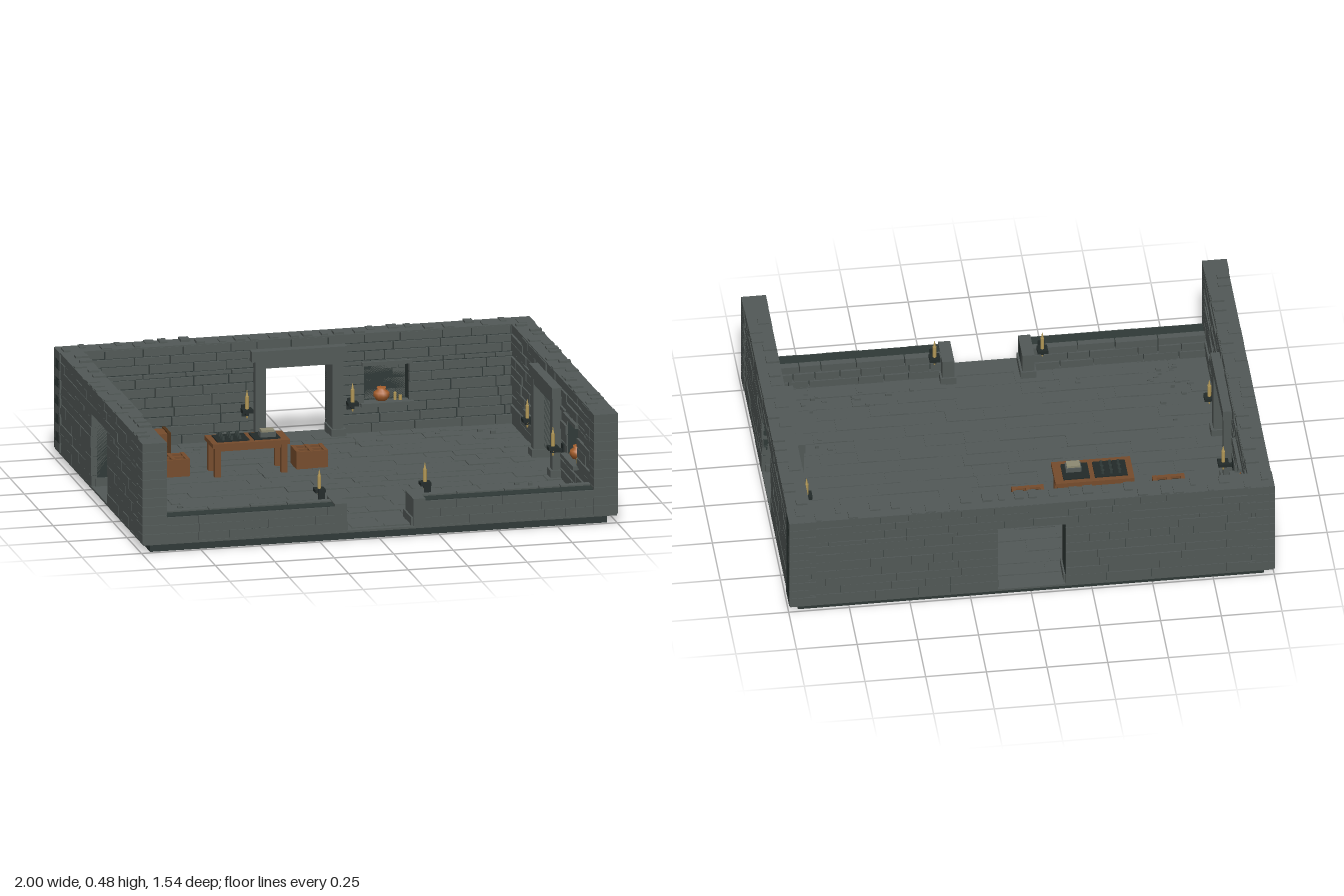
import * as THREE from 'three';
import { mergeGeometries } from 'three/addons/utils/BufferGeometryUtils.js';

const mat = (name, color) => Object.assign(new THREE.MeshStandardMaterial({ color }), { name });

// Seeded random numbers
let seed = 7;
const rnd = (a = 0, b = 1) => {
  seed = (seed * 16807) % 2147483647;
  return a + (b - a) * (seed / 2147483647);
};

// Box geometry from its limits
const box = (x0, x1, y0, y1, z0, z1) =>
  new THREE.BoxGeometry(x1 - x0, y1 - y0, z1 - z0).translate((x0 + x1) / 2, (y0 + y1) / 2, (z0 + z1) / 2);
const cyl = (r0, r1, y0, y1, x = 0, z = 0, n = 8) =>
  new THREE.CylinderGeometry(r1, r0, y1 - y0, n).translate(x, (y0 + y1) / 2, z);

const FLOOR = 0.045, TOP = 0.468, DOOR_TOP = 0.355, HALF = 0.14;
const ROWS = [0.045, 0.09, 0.13, 0.17, 0.21, 0.255, 0.295, 0.335, 0.355, 0.395, 0.43, TOP];
const DOOR = [-HALF, HALF, FLOOR, DOOR_TOP];
const NICHE = [0.28, 0.47, 0.17, 0.335];

export function createModel() {
  const M = {
    stone: mat('stone', 0x525957), mortar: mat('dark stone', 0x2f3937),
    wood: mat('wood', 0x764c2c), darkWood: mat('dark wood', 0x523419),
    iron: mat('iron', 0x222a29), wax: mat('candle wax', 0xb59a58),
    clay: mat('clay', 0xa9602d), paper: mat('paper', 0x8d8a72),
  };
  const root = new THREE.Group();
  const add = (parent, name, material, ...geos) => {
    const flat = geos.flat();
    const mesh = new THREE.Mesh(flat.length > 1 ? mergeGeometries(flat) : flat[0], material);
    mesh.name = name;
    parent.add(mesh);
    return mesh;
  };
  const group = (name, parent = root) => {
    const g = new THREE.Group();
    g.name = name;
    parent.add(g);
    return g;
  };

  // Courses of bricks, leaving the openings free; face(u) gives the depth limits
  const bricks = (u0, u1, rows, openings, gap, depth) => {
    const out = [];
    for (let i = 0; i < rows.length - 1; i++) {
      const mid = (rows[i] + rows[i + 1]) / 2;
      let start = u0;
      const runs = [];
      for (const o of openings.filter((o) => mid > o[2] && mid < o[3])) {
        runs.push([start, o[0]]);
        start = o[1];
      }
      runs.push([start, u1]);
      for (const [a, b] of runs) {
        for (let u = a; u < b - 0.001;) {
          let e = u + rnd(0.08, 0.22);
          if (b - e < 0.06) e = b;
          const [w0, w1] = depth();
          out.push(box(u, e - (e < b ? gap : 0), rows[i], rows[i + 1] - gap, w0, w1));
          u = e;
        }
      }
    }
    return out;
  };

  // Candle on an iron wall bracket; the wall lies towards local -z
  const candle = (parent, u, w) => {
    const g = group('wallCandle', parent);
    g.position.set(u, 0, w);
    add(g, 'bracket', M.iron, box(-0.022, 0.022, 0.178, 0.192, -0.022, 0.022),
      box(-0.006, 0.006, 0.165, 0.18, -0.045, 0.01), box(-0.014, 0.014, 0.15, 0.2, -0.045, -0.038));
    add(g, 'candle', M.wax, cyl(0.008, 0.008, 0.19, 0.245), cyl(0.006, 0.001, 0.245, 0.272), cyl(0.003, 0.008, 0.152, 0.178));
  };

  // High wall with doorway and niche: u along x, outer face at z = 0, inner at z = 0.1
  const highWall = (name, u0, u1) => {
    const g = group(name);
    const s = new THREE.Shape([[u0, FLOOR], [-HALF, FLOOR], [-HALF, DOOR_TOP], [HALF, DOOR_TOP], [HALF, FLOOR],
      [u1, FLOOR], [u1, TOP - 0.006], [u0, TOP - 0.006]].map((p) => new THREE.Vector2(...p)));
    const [a, b, c, d] = NICHE;
    s.holes.push(new THREE.Path([[a, c], [a, d], [b, d], [b, c]].map((p) => new THREE.Vector2(...p))));
    add(g, 'wallCore', M.mortar, new THREE.ExtrudeGeometry(s, { depth: 0.082, bevelEnabled: false }).translate(0, 0, 0.01));
    add(g, 'nicheBack', M.mortar, box(a, b, c, d, 0.011, 0.03));
    add(g, 'outerBricks', M.stone, bricks(u0, u1, ROWS, [DOOR], 0.0015, () => [rnd(0.002, 0.006), 0.03]));
    add(g, 'innerBricks', M.stone, bricks(u0, u1, ROWS, [DOOR, NICHE], 0.005, () => [0.08, rnd(0.097, 0.104)]));
    // Coping stones
    const cap = [box(u0, u1, TOP - 0.007, TOP, 0.003, 0.1)];
    for (let u = u0 + 0.02; u < u1 - 0.06; u += rnd(0.05, 0.1)) {
      const w = rnd(0.02, 0.045), z = rnd() < 0.5 ? 0.004 : 0.045;
      cap.push(box(u, u + w, TOP - 0.001, TOP + rnd(0.004, 0.01), z, z + rnd(0.045, 0.055)));
    }
    add(g, 'coping', M.stone, cap);
    // Door surround
    const frame = [box(-0.2, 0.2, 0.385, 0.43, 0.09, 0.14), box(-0.18, 0.18, DOOR_TOP, 0.387, 0.09, 0.133)];
    for (const k of [-1, 1]) {
      const side = (p, q, ...r) => box(Math.min(k * p, k * q), Math.max(k * p, k * q), ...r);
      frame.push(side(HALF, 0.185, FLOOR, 0.386, 0.01, 0.135), side(0.133, 0.195, FLOOR, 0.08, 0.02, 0.145));
      candle(g, k * 0.222, 0.142);
    }
    add(g, 'doorFrame', M.stone, frame);
    // Niche sill, lintel and contents
    add(g, 'nicheSill', M.stone, box(a - 0.015, b + 0.015, c - 0.012, c + 0.004, 0.06, 0.122),
      box(a - 0.01, b + 0.01, d - 0.004, d + 0.012, 0.09, 0.112));
    const pot = [[0, 0], [0.022, 0], [0.034, 0.018], [0.032, 0.034], [0.016, 0.046], [0.02, 0.054], [0, 0.05]];
    add(g, 'nicheJar', M.clay, new THREE.LatheGeometry(pot.map((p) => new THREE.Vector2(...p)), 10).translate(0.36, c + 0.004, 0.072));
    add(g, 'nicheCandles', M.wax, cyl(0.007, 0.007, c, 0.205, 0.415, 0.08), cyl(0.007, 0.007, c, 0.195, 0.435, 0.09));
    return g;
  };
  highWall('backWall', -1, 1).position.z = -0.77;
  const right = highWall('rightWall', -0.69, 0.67);
  right.position.x = -1;
  right.rotation.y = Math.PI / 2;
  const left = highWall('leftWall', -0.67, 0.69);
  left.position.x = 1;
  left.rotation.y = -Math.PI / 2;

  // Foundation and paved floor
  add(root, 'foundation', M.mortar, box(-0.96, 0.96, 0, 0.04, -0.735, 0.735));
  add(root, 'floorSlab', M.stone, box(-0.995, 0.995, 0.036, FLOOR, -0.765, 0.765));
  const tiles = [];
  for (let z = -0.68; z < 0.67; z += 0.075)
    for (let x = -0.9; x < 0.89;) {
      const e = Math.min(0.9, x + rnd(0.06, 0.16));
      tiles.push(box(x, e, 0.04, FLOOR + rnd(0.0005, 0.006), z, z + rnd(0.068, 0.075)));
      x = e;
    }
  add(root, 'pavingStones', M.stone, tiles);
  const rubble = [];
  for (let i = 0; i < 90; i++) {
    const edge = rnd(0, 0.2), k = rnd() < 0.5 ? -1 : 1;
    let x = k * (0.87 - edge), z = rnd(-0.62, 0.62);
    if (i % 2) [x, z] = [rnd(-0.85, 0.85), k * (0.63 - edge * 0.6)];
    if (Math.abs(x) < 0.2 || Math.abs(z) < 0.2) continue;
    rubble.push(box(x, x + rnd(0.012, 0.03), 0.044, rnd(0.053, 0.06), z, z + rnd(0.008, 0.02)));
  }
  add(root, 'rubble', M.stone, rubble);

  // Low front walls, corner stones and front doorway
  for (const k of [-1, 1]) {
    const g = group(k > 0 ? 'frontWallLeft' : 'frontWallRight');
    const [a, b] = k > 0 ? [HALF, 0.9] : [-0.9, -HALF];
    const rows = [0.045, 0.08, 0.115, 0.15];
    add(g, 'lowWallCore', M.mortar, box(a, b, FLOOR, 0.152, 0.69, 0.757));
    add(g, 'lowWallBricks', M.stone, bricks(a, b, rows, [], 0.0015, () => [0.74, rnd(0.761, 0.765)]),
      bricks(a, b, [0.045, 0.085, 0.125, 0.162], [], 0.004, () => [rnd(0.667, 0.673), 0.7]));
    const [p, q] = k > 0 ? [HALF, 0.19] : [-0.19, -HALF];
    add(g, 'doorJamb', M.stone, box(p, q, FLOOR, 0.16, 0.625, 0.764),
      box(p - 0.008, q + 0.008, FLOOR, 0.08, 0.618, 0.755));
    const c = group('frontCandle', g);
    c.rotation.y = Math.PI;
    candle(c, -k * 0.222, -0.625);
    // Stacked end stones at the front, bonded quoins at the back
    const end = [], quoin = [];
    for (let i = 0; i < 11; i++) {
      const y0 = FLOOR + i * 0.0386, y1 = y0 + 0.0366, long = i % 2 ? 0.11 : 0.08;
      const span = (u, v, ...r) => box(Math.min(k * u, k * v), Math.max(k * u, k * v), ...r);
      end.push(span(0.898, 1, y0, y1, 0.768 - long, 0.768));
      quoin.push(span(1 - (i % 2 ? 0.08 : 0.11), 1, y0, y1, -0.77, -0.77 + long));
    }
    add(g, 'endStones', M.stone, end);
    add(g, 'backQuoins', M.stone, quoin);
  }

  // Table with tray, board and book
  const table = group('table');
  add(table, 'tableTop', M.wood, box(-0.485, -0.16, 0.172, 0.19, -0.283, -0.135));
  const legs = [box(-0.46, -0.185, 0.155, 0.173, -0.27, -0.262), box(-0.46, -0.185, 0.155, 0.173, -0.156, -0.148)];
  for (const x of [-0.475, -0.195]) for (const z of [-0.275, -0.168]) legs.push(box(x, x + 0.025, FLOOR, 0.173, z, z + 0.025));
  add(table, 'tableLegs', M.wood, legs);
  add(table, 'trays', M.iron, box(-0.46, -0.325, 0.189, 0.195, -0.262, -0.16), box(-0.305, -0.195, 0.189, 0.195, -0.262, -0.16));
  const pieces = [];
  for (let i = 0; i < 9; i++) pieces.push(cyl(0.009, 0.007, 0.194, 0.21, -0.43 + (i % 3) * 0.035, -0.24 + Math.floor(i / 3) * 0.03));
  add(table, 'smallPots', M.mortar, pieces);
  add(table, 'bookBlock', M.stone, box(-0.275, -0.21, 0.194, 0.215, -0.22, -0.175));
  add(table, 'bookPages', M.paper, box(-0.27, -0.215, 0.214, 0.224, -0.216, -0.179));

  // Crates with four compartments
  for (const x of [-0.635, -0.055]) {
    const g = group('crate');
    g.position.set(x, 0, -0.24);
    add(g, 'crateFloor', M.darkWood, box(-0.06, 0.06, FLOOR, 0.1, -0.046, 0.046));
    const rails = [];
    for (const i of [-1, 0, 1])
      rails.push(box(i * 0.058 - 0.008, i * 0.058 + 0.008, FLOOR, 0.122, -0.052, 0.052),
        box(-0.066, 0.066, FLOOR, 0.12, i * 0.045 - 0.008, i * 0.045 + 0.008));
    add(g, 'crateSides', M.wood, rails);
    const holes = [];
    for (const i of [-1, 1]) for (const j of [-1, 1])
      holes.push(box(i * 0.029 - 0.014, i * 0.029 + 0.014, 0.1, 0.112, j * 0.0225 - 0.01, j * 0.0225 + 0.01));
    add(g, 'crateContents', M.iron, holes);
  }

  // Storage chest with dark rails
  const chest = group('chest');
  add(chest, 'chestBody', M.wood, box(-0.675, -0.59, FLOOR, 0.155, -0.55, -0.462));
  add(chest, 'chestRails', M.darkWood, [-0.682, -0.596].map((x) => box(x, x + 0.013, FLOOR, 0.16, -0.556, -0.456)),
    box(-0.67, -0.595, 0.095, 0.103, -0.465, -0.458));
  return root;
}
